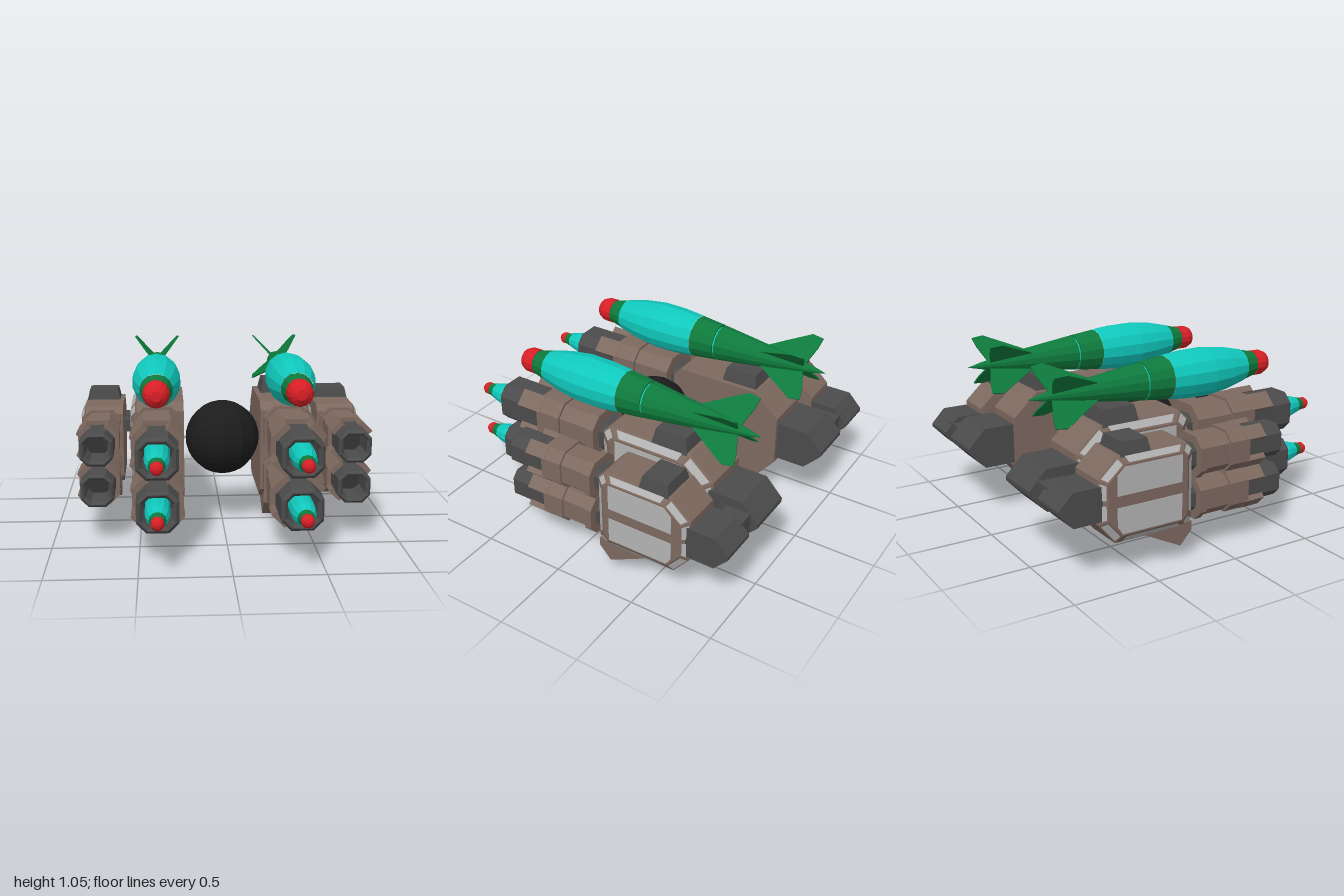
import * as THREE from 'three';

const mat = (color, side = THREE.FrontSide) =>
  new THREE.MeshStandardMaterial({ color, flatShading: true, side });
const BROWN = mat(0x7d695f), GREY = mat(0x4b4b4b), DARK = mat(0x333333), BLACK = mat(0x1c1c1c);
const PANE = mat(0xb4b4b4, THREE.DoubleSide);
const CYAN = mat(0x10c8bc), GREEN = mat(0x0e7a3c), RED = mat(0xd81f26);

function add(parent, name, geometry, material, x = 0, y = 0, z = 0) {
  const mesh = new THREE.Mesh(geometry, material);
  mesh.name = name;
  mesh.position.set(x, y, z);
  parent.add(mesh);
  return mesh;
}

function group(parent, name, x = 0, y = 0, z = 0) {
  const g = new THREE.Group();
  g.name = name;
  g.position.set(x, y, z);
  parent.add(g);
  return g;
}

const shapeOf = (pts) => new THREE.Shape(pts.map(([a, b]) => new THREE.Vector2(a, b)));

// (z, y) outline extruded across x from x0 to x1
function sideways(pts, x0, x1) {
  const g = new THREE.ExtrudeGeometry(shapeOf(pts), { depth: x1 - x0, bevelEnabled: false });
  return g.rotateY(-Math.PI / 2).translate(x1, 0, 0);
}

// square of half size h with corners cut by c
function octagon(h, c = h * 0.46) {
  const k = h - c;
  return [[h, -k], [h, k], [k, h], [-k, h], [-h, k], [-h, -k], [-k, -h], [k, -h]];
}

// octagonal prism along z
function prism(h, z0, z1) {
  const g = new THREE.ExtrudeGeometry(shapeOf(octagon(h)), { depth: z1 - z0, bevelEnabled: false });
  return g.translate(0, 0, z0);
}

// turned section along z from [z, radius] points, z ascending
const turned = (pts, sides) =>
  new THREE.LatheGeometry(pts.map(([z, r]) => new THREE.Vector2(r, z)), sides).rotateX(Math.PI / 2);

// box whose top is smaller than its base
function taperedBox(w, h, d, top) {
  const g = new THREE.BoxGeometry(w, h, d);
  const p = g.attributes.position;
  for (let i = 0; i < p.count; i++)
    if (p.getY(i) > 0) p.setXYZ(i, p.getX(i) * top, p.getY(i), p.getZ(i) * top);
  return g;
}

const HULL = [[0, -0.2], [0, 0.2], [-0.04, 0.24], [-0.46, 0.24], [-0.58, 0.13],
  [-0.58, -0.12], [-0.48, -0.24], [-0.04, -0.24]];
const inset = ([z, y]) => [-0.29 + (z + 0.29) * 0.845, y * 0.8125];

// thin panes lying on the bevelled rim of the hull
function rimPanes() {
  const out = [];
  HULL.forEach((a, i) => {
    const b = HULL[(i + 1) % HULL.length], a2 = inset(a), b2 = inset(b);
    const at = (u, v) => {
      const mix = (k) => (1 - v) * ((1 - u) * a[k] + u * b[k]) + v * ((1 - u) * a2[k] + u * b2[k]);
      const grow = 1.008;
      return [0.1 + 0.03 * v + 0.003, mix(1) * grow, -0.29 + (mix(0) + 0.29) * grow];
    };
    const spans = i === 4 ? [[0.06, 0.44], [0.56, 0.94]] : [[0.08, 0.92]];
    for (const [u0, u1] of spans) {
      const [p, q, r, s] = [at(u0, 0.18), at(u1, 0.18), at(u1, 0.85), at(u0, 0.85)];
      out.push(...p, ...q, ...r, ...p, ...r, ...s);
    }
  });
  const g = new THREE.BufferGeometry();
  g.setAttribute('position', new THREE.Float32BufferAttribute(out, 3));
  g.computeVertexNormals();
  return g;
}

function barrel(parent, y) {
  const b = group(parent, 'barrel', 0, y, 0);
  add(b, 'barrelNeck', prism(0.075, -0.01, 0.06), GREY);
  add(b, 'barrelFlange', prism(0.119, 0.05, 0.09), BROWN);
  add(b, 'barrelTube', prism(0.107, 0.09, 0.25), BROWN);
  add(b, 'barrelCollar', prism(0.119, 0.25, 0.38), BROWN);
  // four prongs gripping the muzzle corners
  for (let i = 0; i < 4; i++) {
    const a = Math.PI / 4 + i * Math.PI / 2;
    const prong = add(b, 'muzzleProng', new THREE.BoxGeometry(0.032, 0.085, 0.13), BROWN,
      Math.cos(a) * 0.115, Math.sin(a) * 0.115, 0.425);
    prong.rotation.z = a;
  }
  // hollow muzzle with a bevelled lip
  const ring = shapeOf(octagon(0.083));
  ring.holes.push(new THREE.Path(octagon(0.081).map(([x, v]) => new THREE.Vector2(x * 0.97, v * 0.97))));
  ring.holes[0] = new THREE.Path(octagon(0.078).reverse().map(([x, v]) => new THREE.Vector2(x, v)));
  const muzzle = new THREE.ExtrudeGeometry(ring, {
    depth: 0.24, bevelEnabled: true, bevelThickness: 0.012, bevelSize: 0.012, bevelSegments: 1 });
  add(b, 'muzzle', muzzle.translate(0, 0, 0.378), GREY);
  add(b, 'boreEnd', prism(0.075, 0.37, 0.42), DARK);
}

// launcher pod: hull, side panel, humps, thruster and two barrels
function pod(parent, name, x, z, scale) {
  const p = group(parent, name, x, 0.435, z);
  p.scale.setScalar(scale);
  add(p, 'hull', sideways(HULL, -0.13, 0.1), BROWN);
  const rim = sideways(HULL, 0.1, 0.13);
  const pos = rim.attributes.position;
  for (let i = 0; i < pos.count; i++) {
    if (pos.getX(i) < 0.115) continue;
    const [nz, ny] = inset([pos.getZ(i), pos.getY(i)]);
    pos.setXYZ(i, pos.getX(i), ny, nz);
  }
  rim.computeVertexNormals();
  add(p, 'hullRim', rim, BROWN);
  add(p, 'rimPanes', rimPanes(), PANE);
  add(p, 'upperPane', sideways([[-0.08, 0.03], [-0.08, 0.185], [-0.435, 0.185], [-0.48, 0.14],
    [-0.48, 0.03]], 0.125, 0.133), PANE);
  add(p, 'lowerPane', sideways([[-0.08, -0.035], [-0.48, -0.035], [-0.48, -0.14],
    [-0.45, -0.185], [-0.08, -0.185]], 0.125, 0.133), PANE);
  add(p, 'roofHump', taperedBox(0.22, 0.085, 0.19, 0.82), GREY, 0, 0.2625, -0.355);
  add(p, 'bellyWedge', sideways([[0, -0.22], [0, -0.27], [-0.073, -0.35], [-0.3, -0.235],
    [-0.3, -0.22]], -0.11, 0.11), BROWN);
  add(p, 'thruster', sideways([[-0.55, 0.097], [-0.73, 0.097], [-0.812, 0.01], [-0.812, -0.01],
    [-0.73, -0.097], [-0.55, -0.097]], -0.115, 0.115), GREY);
  for (const y of [-0.12, 0.12]) barrel(p, y);
}

function largeMissile(parent, x, y) {
  const m = group(parent, 'largeMissile', x, y, 0);
  const N = 14;
  add(m, 'missileTail', turned([[-0.93, 0], [-0.84, 0.022], [-0.6, 0.062], [-0.24, 0.108], [-0.24, 0.098]], N), GREEN);
  add(m, 'missileBand', turned([[-0.245, 0.1], [-0.225, 0.1]], N), CYAN);
  add(m, 'missileRear', turned([[-0.228, 0.098], [-0.228, 0.11], [-0.08, 0.126]], N), GREEN);
  add(m, 'missileBody', turned([[-0.08, 0.128], [0.05, 0.14], [0.2, 0.142], [0.33, 0.125], [0.46, 0.094]], N), CYAN);
  add(m, 'missileCollar', turned([[0.46, 0.092], [0.55, 0.07]], N), GREEN);
  add(m, 'missileNose', turned([[0.545, 0.06], [0.545, 0.075], [0.6, 0.074], [0.635, 0.058], [0.655, 0.03], [0.657, 0]], N), RED);
  // four diagonal fins
  for (let i = 0; i < 4; i++) {
    const fin = sideways([[-0.5, 0.05], [-0.62, 0.12], [-0.77, 0.205], [-0.84, 0.195],
      [-0.83, 0.13], [-0.79, 0.01]], -0.004, 0.004);
    add(m, 'tailFin', fin, GREEN).rotation.z = Math.PI / 4 + i * Math.PI / 2;
  }
}

function smallMissile(parent, x, y) {
  const m = group(parent, 'smallMissile', x, y, 0);
  add(m, 'shellBody', turned([[0.4, 0.072], [0.78, 0.07], [0.84, 0.066], [0.905, 0.047]], 12), CYAN);
  add(m, 'shellCollar', turned([[0.905, 0.047], [0.95, 0.034]], 12), GREEN);
  add(m, 'shellNose', turned([[0.945, 0.03], [0.948, 0.037], [0.975, 0.036], [0.993, 0.022], [1, 0]], 12), RED);
}

export function createModel() {
  const model = new THREE.Group();
  model.name = 'missileLauncher';
  add(model, 'core', new THREE.SphereGeometry(0.224, 12, 16), BLACK, 0, 0.525, 0);
  for (const s of [1, -1]) {
    const half = group(model, s > 0 ? 'leftLauncher' : 'rightLauncher');
    half.scale.x = s;
    pod(half, 'innerPod', 0.395, 0, 1.24);
    pod(half, 'outerPod', 0.74, -0.19, 1);
    add(half, 'rearStrut', new THREE.BoxGeometry(0.14, 0.12, 0.15), GREY, 0.585, 0.44, -0.885);
    add(half, 'middleStrut', new THREE.BoxGeometry(0.14, 0.055, 0.09), GREY, 0.585, 0.54, -0.375);
    largeMissile(half, 0.395, 0.9);
    for (const y of [0.286, 0.584]) smallMissile(half, 0.395, y);
  }
  return model;
}
